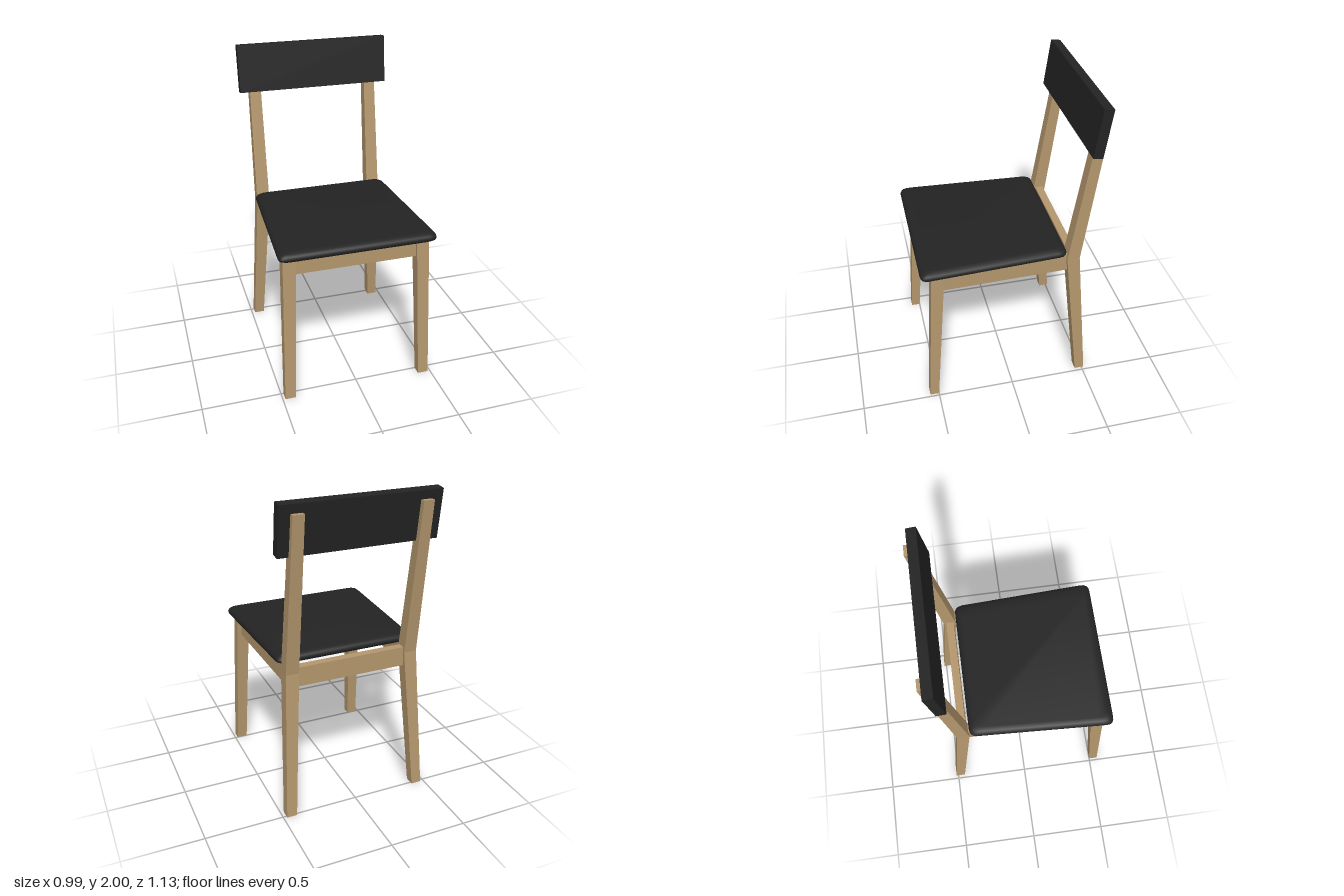
import * as THREE from 'three';
import { toCreasedNormals } from 'three/addons/utils/BufferGeometryUtils.js';

// Skin a closed solid through rings of [x, y, z] points, bottom to top,
// each ring counter-clockwise seen from above.
function loft(rings) {
  const n = rings[0].length, pos = [];
  const tri = (a, b, c) => pos.push(...a, ...b, ...c);
  for (let r = 0; r < rings.length - 1; r++) {
    for (let i = 0; i < n; i++) {
      const j = (i + 1) % n, lo = rings[r], hi = rings[r + 1];
      tri(lo[i], lo[j], hi[j]);
      tri(lo[i], hi[j], hi[i]);
    }
  }
  const bottom = rings[0], top = rings[rings.length - 1];
  for (let i = 1; i < n - 1; i++) {
    tri(bottom[0], bottom[i + 1], bottom[i]);
    tri(top[0], top[i], top[i + 1]);
  }
  const geo = new THREE.BufferGeometry();
  geo.setAttribute('position', new THREE.Float32BufferAttribute(pos, 3));
  geo.computeVertexNormals();
  return geo;
}

// Rectangular ring, mirrored in x by side
function rect(side, y, xIn, xOut, zBack, zFront) {
  const [a, b] = side > 0 ? [xIn, xOut] : [-xOut, -xIn];
  return [[b, y, zFront], [b, y, zBack], [a, y, zBack], [a, y, zFront]];
}

// Rounded trapezoid outline of the cushion, pulled in by inset
function cushionRing(y, inset) {
  const corners = [[0.496, 0.565], [0.452, -0.353], [-0.452, -0.353], [-0.496, 0.565]]
    .map(([x, z]) => new THREE.Vector2(x - Math.sign(x) * inset, z - Math.sign(z) * inset));
  const ring = [];
  corners.forEach((c, i) => {
    const prev = corners[(i + 3) % 4], next = corners[(i + 1) % 4], r = 0.05;
    const p = c.clone().add(prev.clone().sub(c).setLength(r));
    const q = c.clone().add(next.clone().sub(c).setLength(r));
    const curve = new THREE.QuadraticBezierCurve(p, c, q);
    for (const v of curve.getPoints(4)) ring.push([v.x, y, v.y]);
  });
  return ring;
}

export function createModel() {
  const model = new THREE.Group();
  model.name = 'chair';
  const wood = new THREE.MeshStandardMaterial({ color: 0xb3966d });
  wood.name = 'light wood';
  const black = new THREE.MeshStandardMaterial({ color: 0x232323 });
  black.name = 'black upholstery';

  const add = (name, geo, mat) => {
    const mesh = new THREE.Mesh(geo, mat);
    mesh.name = name;
    model.add(mesh);
    return mesh;
  };

  for (const side of [1, -1]) {
    const label = side > 0 ? 'left' : 'right';
    // Tapered, splayed front leg
    add(label + 'FrontLeg', loft([
      rect(side, 0, 0.415, 0.484, 0.5, 0.558),
      rect(side, 0.98, 0.38, 0.46, 0.42, 0.5),
    ]), wood);
    // Back leg, bent at seat height and running up behind the backrest
    add(label + 'BackLeg', loft([
      rect(side, 0, 0.412, 0.478, -0.515, -0.452),
      rect(side, 0.95, 0.352, 0.436, -0.435, -0.355),
      rect(side, 1.938, 0.356, 0.425, -0.565, -0.505),
    ]), wood);
    // Side rail, following the taper of the seat
    const railRing = (y) => [
      [side * 0.435, y, 0.45], [side * 0.415, y, -0.38],
      [side * 0.365, y, -0.38], [side * 0.385, y, 0.45],
    ];
    const ordered = (y) => (side > 0 ? railRing(y) : railRing(y).reverse());
    add(label + 'SideRail', loft([ordered(0.855), ordered(0.98)]), wood);
  }

  // Front and back rails under the seat
  const frontRail = add('frontRail', new THREE.BoxGeometry(0.79, 0.125, 0.05), wood);
  frontRail.position.set(0, 0.9175, 0.46);
  const backRail = add('backRail', new THREE.BoxGeometry(0.74, 0.125, 0.05), wood);
  backRail.position.set(0, 0.9175, -0.395);

  // Seat cushion with soft edges
  const cushion = loft([
    cushionRing(0.978, 0.018), cushionRing(0.99, 0.003), cushionRing(1.002, 0),
    cushionRing(1.018, 0.006), cushionRing(1.029, 0.02), cushionRing(1.034, 0.045),
  ]);
  add('seatCushion', toCreasedNormals(cushion, 0.8), black);

  // Leaning backrest panel
  const backrest = add('backrest', new THREE.BoxGeometry(0.988, 0.302, 0.06), black);
  backrest.position.set(0, 1.846, -0.49);
  backrest.rotation.x = -0.133;

  return model;
}
